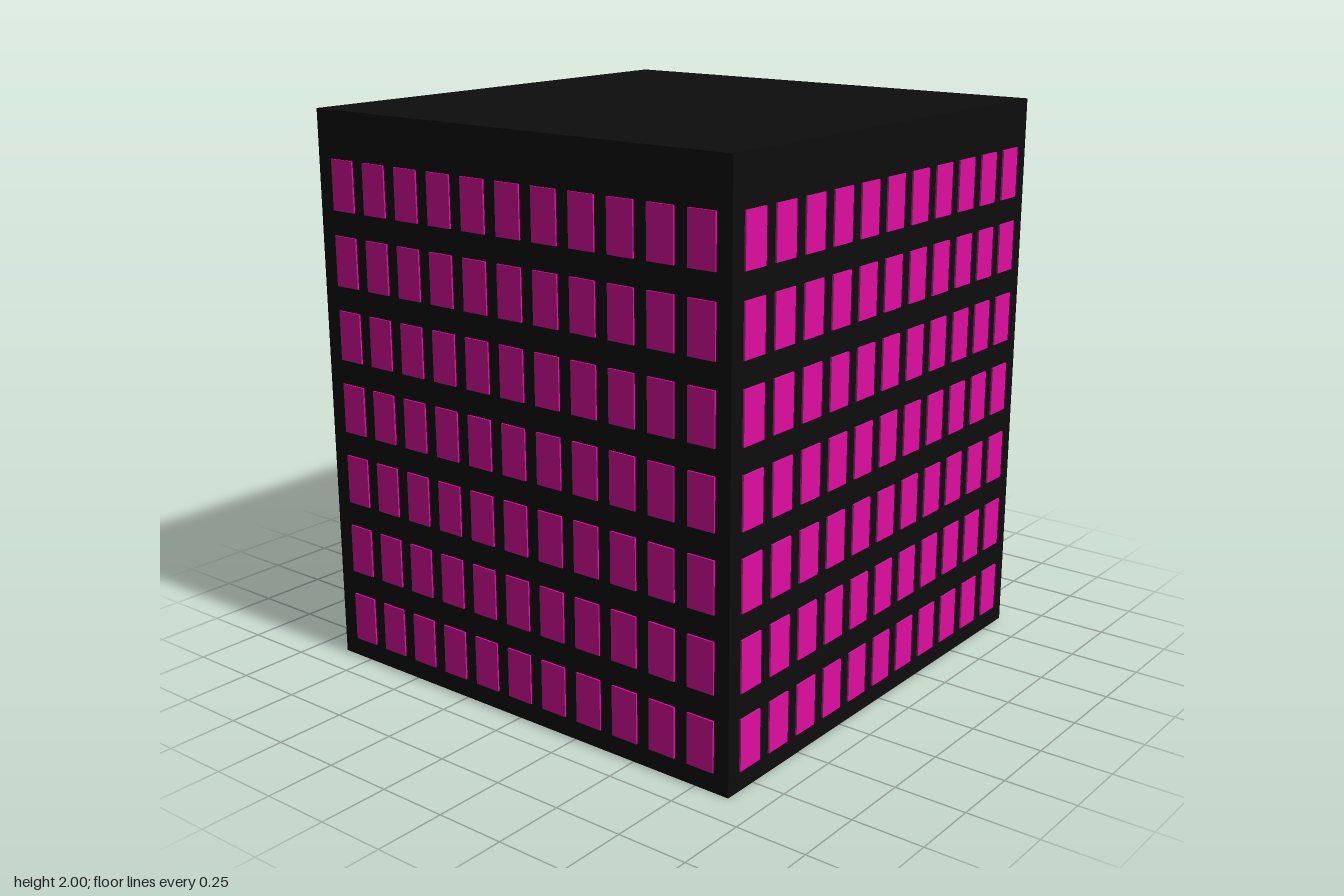
import * as THREE from 'three';

export function createModel() {
  const model = new THREE.Group();
  model.name = 'officeBlock';
  const wallMat = new THREE.MeshStandardMaterial({ color: 0x0d0d0d });
  const windowMat = new THREE.MeshStandardMaterial({ color: 0xe00ca0 });

  // Solid building block
  const half = 0.88, height = 2;
  const body = new THREE.Mesh(new THREE.BoxGeometry(half * 2, height, half * 2), wallMat);
  body.name = 'buildingBody';
  body.position.y = height / 2;
  model.add(body);

  // Thin raised window panes: 7 floors of 11 on each wall
  const floors = 7, columns = 11;
  const pitchX = 0.1535, pitchY = 0.2646, offset = 0.005;
  const proud = 0.006, depth = 0.012;
  const acrossX = new THREE.BoxGeometry(0.102, 0.177, depth);
  const acrossZ = new THREE.BoxGeometry(depth, 0.177, 0.102);
  const out = half + proud - depth / 2;

  const walls = [
    ['front', acrossX, (s) => [s, out]],
    ['back', acrossX, (s) => [s, -out]],
    ['left', acrossZ, (s) => [out, s]],
    ['right', acrossZ, (s) => [-out, s]],
  ];
  for (const [side, geometry, place] of walls) {
    const wall = new THREE.Group();
    wall.name = `${side}Windows`;
    for (let row = 0; row < floors; row++) {
      for (let col = 0; col < columns; col++) {
        const [x, z] = place((col - (columns - 1) / 2) * pitchX + offset);
        const pane = new THREE.Mesh(geometry, windowMat);
        pane.name = 'window';
        pane.position.set(x, 0.1575 + row * pitchY, z);
        wall.add(pane);
      }
    }
    model.add(wall);
  }
  return model;
}
